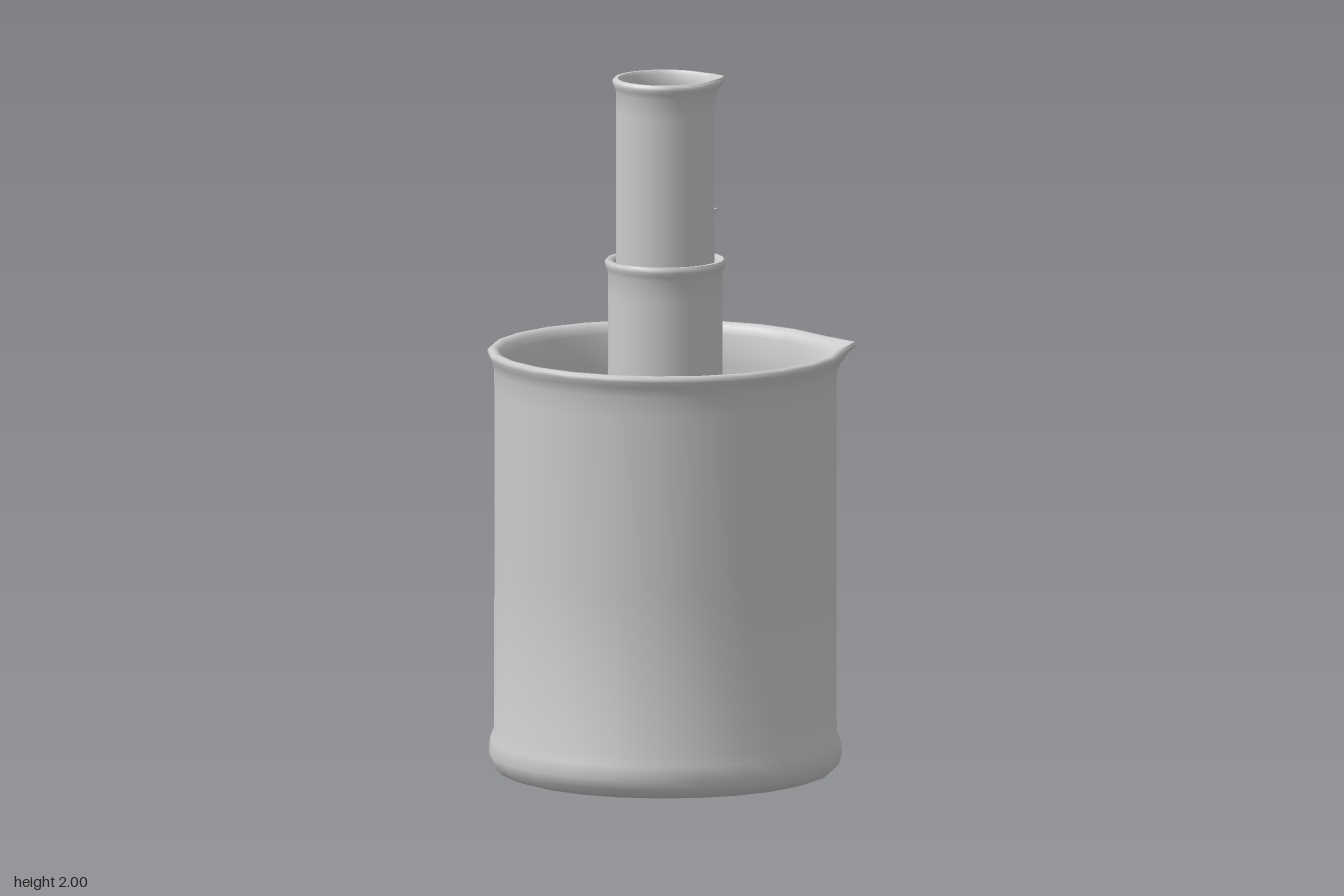
import * as THREE from 'three';
import { mergeVertices, toCreasedNormals } from 'three/addons/utils/BufferGeometryUtils.js';

const SIDES = 24;
const material = new THREE.MeshStandardMaterial({ color: 0xcccccc, side: THREE.DoubleSide });

// Lathe a closed wall profile, then pull the rim out along +x into a pouring spout.
function vessel(name, profile, base, top, spout) {
  let g = new THREE.LatheGeometry(profile.map(([r, y]) => new THREE.Vector2(r, y)), SIDES);
  if (spout) {
    const p = g.attributes.position;
    for (let i = 0; i < p.count; i++) {
      const x = p.getX(i), y = p.getY(i), z = p.getZ(i);
      const r = Math.hypot(x, z);
      const rise = (y - (top - spout.depth)) / spout.depth;
      if (rise <= 0 || r < 1e-3) continue;
      const side = Math.max(0, 1 - Math.abs(Math.atan2(z, x)) / spout.angle);
      const k = 1 + (spout.reach * side * Math.pow(rise, 1.3)) / r;
      p.setXYZ(i, x * k, y, z * k);
    }
  }
  g.deleteAttribute('uv');
  g.deleteAttribute('normal');
  g = toCreasedNormals(mergeVertices(g, 1e-5), 0.9);
  const mesh = new THREE.Mesh(g, material);
  mesh.name = name;
  mesh.position.set(-0.027, base, 0);
  return mesh;
}

// Wide beaker with a bulging foot; s scales the whole shape.
function beaker(name, s, base) {
  const profile = [
    [0, 0], [0.44, 0], [0.472, 0.01], [0.493, 0.03], [0.502, 0.06], [0.498, 0.1],
    [0.487, 0.13], [0.486, 0.6], [0.486, 1.1], [0.487, 1.16], [0.495, 1.19],
    [0.505, 1.205], [0.505, 1.215], [0.498, 1.222], [0.485, 1.222], [0.472, 1.212],
    [0.462, 1.19], [0.46, 1.1], [0.46, 0.6], [0.46, 0.08], [0.43, 0.045], [0.2, 0.055], [0, 0.06],
  ].map(([r, y]) => [r * s, y * s]);
  return vessel(name, profile, base, 1.222 * s,
    { reach: 0.053 * s, depth: 0.12 * s, angle: 0.27 });
}

// Slim tube with a rolled rim: wall radius r, wall thickness t, lip overhang.
function tube(name, r, t, lip, base, topY, spout) {
  const h = topY - base, q = r - t;
  const profile = [
    [0, 0], [r * 0.85, 0], [r * 0.96, 0.008], [r, 0.03], [r, h * 0.5], [r, h - 0.1],
    [r, h - 0.04], [r + lip * 0.6, h - 0.025], [r + lip, h - 0.015], [r + lip, h - 0.006],
    [r + lip * 0.5, h], [q + t * 0.6, h], [q, h - 0.01], [q, h - 0.04], [q, h - 0.1],
    [q, h * 0.5], [q, 0.05], [q * 0.85, 0.075], [q * 0.5, 0.095], [0, 0.105],
  ];
  return vessel(name, profile, base, h, spout);
}

export function createModel() {
  const group = new THREE.Group();
  group.name = 'nestedGlassware';
  group.add(
    beaker('largeBeaker', 1, 0),
    beaker('mediumBeaker', 0.632, 0.04),
    tube('outerCylinder', 0.163, 0.016, 0.009, 0.07, 1.48, null),
    tube('tallCylinder', 0.14, 0.012, 0.01, 0.09, 2.0,
      { reach: 0.025, depth: 0.1, angle: 0.5 }),
    tube('innerCylinder', 0.12, 0.012, 0.005, 0.11, 1.62,
      { reach: 0.028, depth: 0.06, angle: 0.5 }),
  );
  return group;
}
